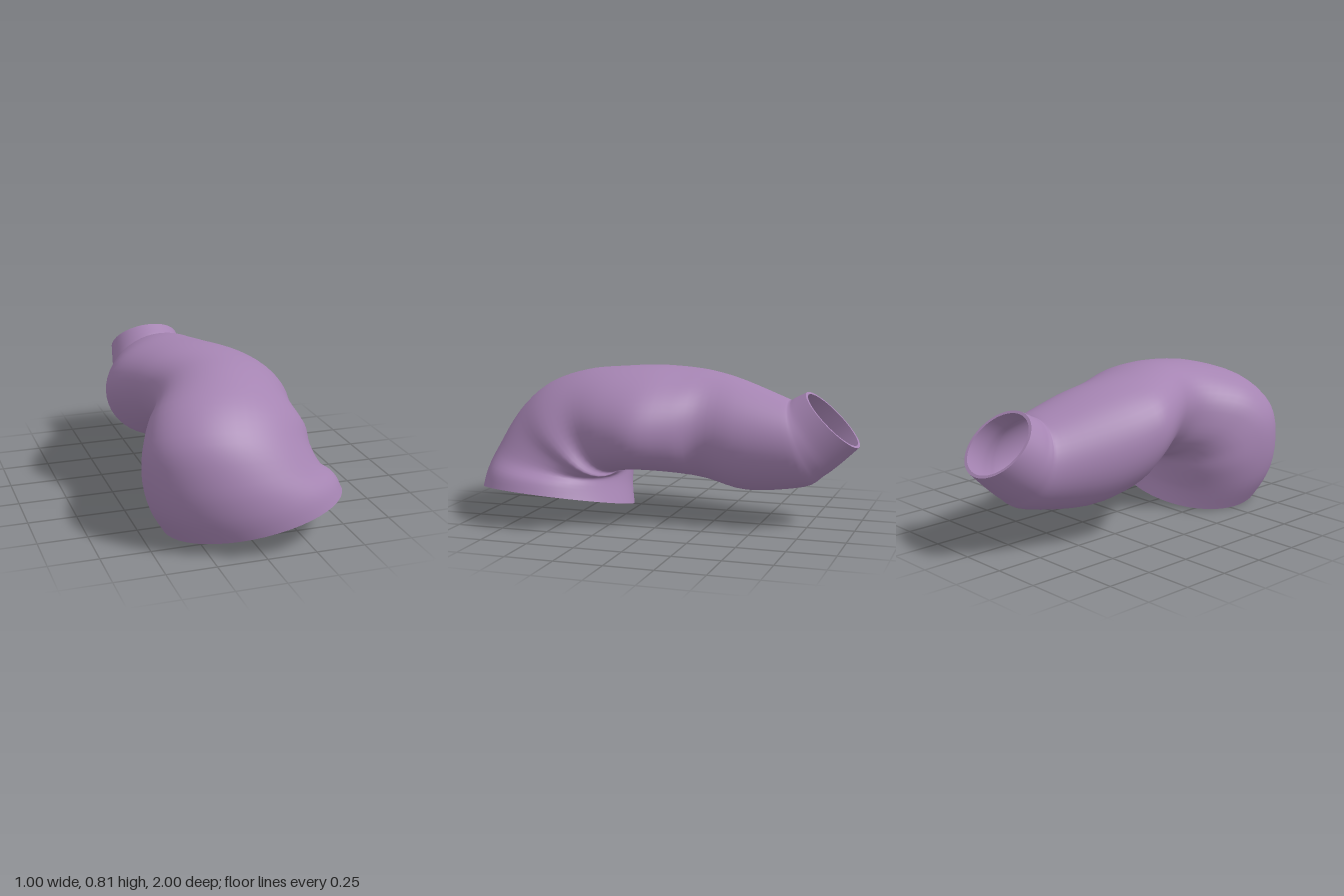
import * as THREE from 'three';

// Sections along the duct: outer edge (x, y, z), inner edge (x, y, z),
// sideways half-axis (x, then y and z where it is tilted)
const SECTIONS = [
  [0.05, 0.12, 0.995, 0.07, 0.07, 0.225, 0.44, 0.095, 0.045],
  [-0.02, 0.23, 0.995, 0.03, 0.16, 0.255, 0.46, 0.06, 0.035],
  [-0.08, 0.37, 0.965, -0.01, 0.22, 0.265, 0.445, 0.01, 0.02],
  [-0.11, 0.55, 0.88, 0.0, 0.25, 0.26, 0.43, -0.03, 0],
  [-0.08, 0.69, 0.72, 0.03, 0.265, 0.25, 0.405, -0.05, 0.02],
  [-0.03, 0.77, 0.5, 0.03, 0.272, 0.23, 0.345, -0.04, 0.05],
  [-0.01, 0.797, 0.3, 0.05, 0.278, 0.18, 0.355, -0.03, 0.03],
  [-0.05, 0.805, 0.1, 0.04, 0.28, 0.08, 0.388, -0.03],
  [-0.12, 0.793, -0.08, -0.06, 0.245, -0.08, 0.382, -0.015],
  [-0.14, 0.775, -0.22, -0.13, 0.205, -0.2, 0.335],
  [-0.11, 0.737, -0.38, -0.11, 0.16, -0.42, 0.307],
  [-0.073, 0.663, -0.6, -0.073, 0.2, -0.72, 0.243],
  [-0.075, 0.65, -0.635, -0.075, 0.26, -0.82, 0.225],
  [-0.08, 0.663, -0.66, -0.08, 0.325, -0.9, 0.21],
  [-0.08, 0.695, -0.72, -0.08, 0.42, -1.0, 0.193],
];
const SIDES = 48, STEPS = 4, ELBOW_END = 8;

// Smooth interpolation of every section value
function sectionAt(t) {
  const last = SECTIONS.length - 1;
  const i = Math.min(Math.floor(t), last - 1), f = t - i;
  const at = (k, n) => SECTIONS[Math.max(0, Math.min(last, k))][n] ?? 0;
  return Array.from({ length: 9 }, (_, n) => {
    const a = at(i - 1, n), b = at(i, n), c = at(i + 1, n), d = at(i + 2, n);
    return b + 0.5 * f * (c - a + f * (2 * a - 5 * b + 4 * c - d + f * (3 * (b - c) + d - a)));
  });
}

// One ring of points: an ellipse, squarer on the inside of the elbow
function ring(t, scale) {
  const section = sectionAt(t);
  const fullness = t < ELBOW_END ? 0.1 * Math.sin((Math.PI * t) / ELBOW_END) ** 2 : 0;
  const points = [];
  for (let j = 0; j < SIDES; j++) {
    const a = (j / SIDES) * Math.PI * 2;
    const r = Math.cos(a) < 0 ? scale * (1 + fullness * Math.sin(2 * a) ** 2) : scale;
    points.push([0, 1, 2].map((n) => {
      const out = section[n], inn = section[n + 3];
      return (out + inn) / 2 + r * ((Math.cos(a) * (out - inn)) / 2 + Math.sin(a) * section[n + 6]);
    }));
  }
  return points;
}

// Skin a list of rings
function loft(rings) {
  const index = [];
  for (let i = 0; i < rings.length - 1; i++) {
    for (let j = 0; j < SIDES; j++) {
      const a = i * SIDES + j, b = i * SIDES + ((j + 1) % SIDES);
      index.push(a, b, a + SIDES, b, b + SIDES, a + SIDES);
    }
  }
  const geometry = new THREE.BufferGeometry();
  geometry.setAttribute('position', new THREE.Float32BufferAttribute(rings.flat(2), 3));
  geometry.setIndex(index);
  geometry.computeVertexNormals();
  return geometry;
}

export function createModel() {
  const group = new THREE.Group();
  group.name = 'bentDuct';
  const mauve = new THREE.MeshStandardMaterial({ color: 0xa584b2, side: THREE.DoubleSide });
  mauve.name = 'mauve';

  const outer = [], inner = [];
  const count = (SECTIONS.length - 1) * STEPS;
  for (let k = 0; k <= count; k++) {
    outer.push(ring(k / STEPS, 1));
    inner.push(ring(k / STEPS, 0.96 - 0.04 * (k / count)));
  }

  const add = (name, rings) => {
    const mesh = new THREE.Mesh(loft(rings), mauve);
    mesh.name = name;
    group.add(mesh);
  };
  add('outerWall', outer);
  add('innerWall', [...inner].reverse());
  // Rims closing the wall at both mouths
  add('wideMouthRim', [inner[0], outer[0]]);
  add('spoutRim', [outer[count], inner[count]]);
  return group;
}
